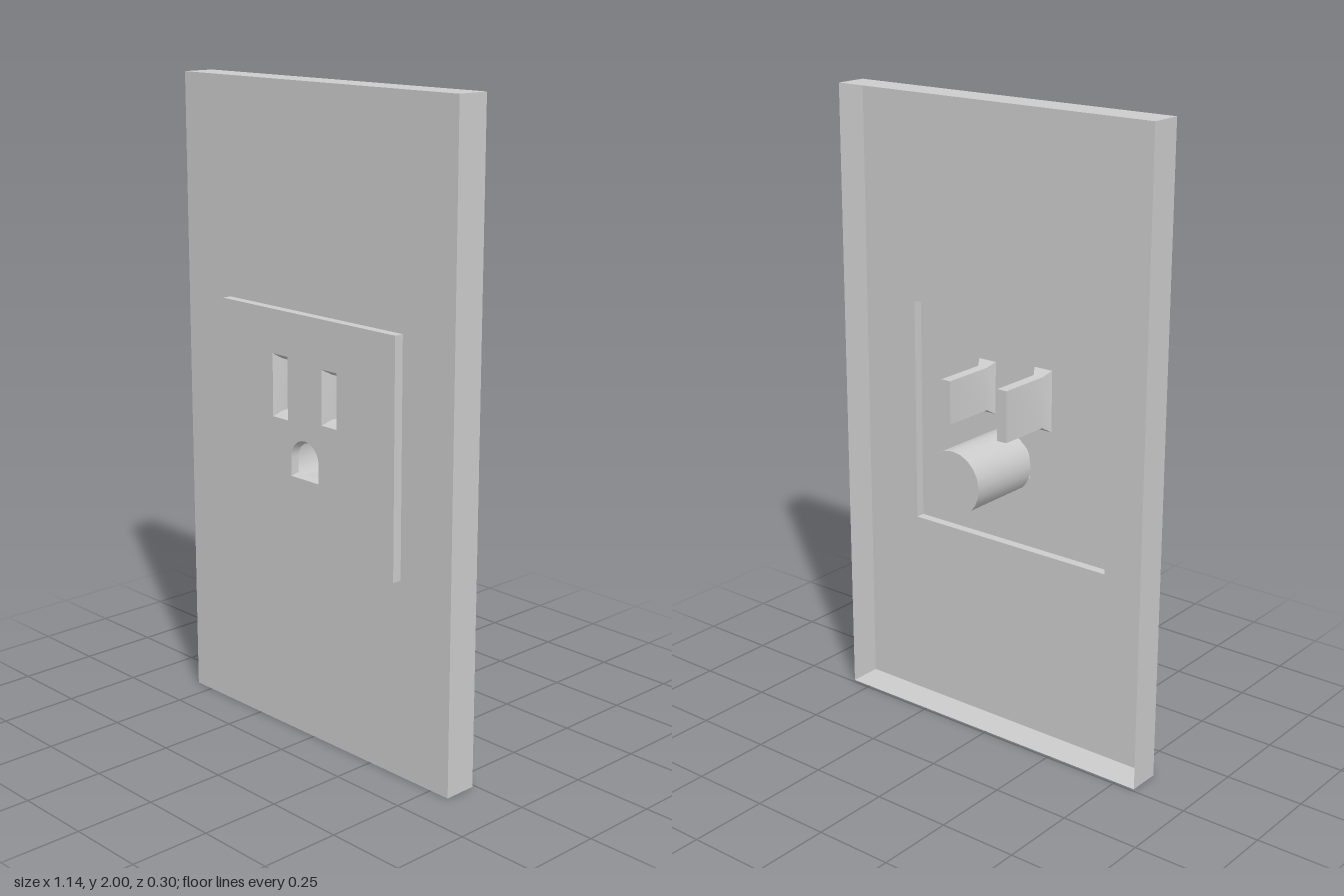
import * as THREE from 'three';
import { toCreasedNormals } from 'three/addons/utils/BufferGeometryUtils.js';

const FRONT = 0.115, BACK = 0.01, FACE = 0.145;

const shellGrey = new THREE.MeshStandardMaterial({ color: 0xcccccc, side: THREE.DoubleSide });
shellGrey.name = 'shell grey';

// Counter-clockwise rectangle, seen from the front
function rect(cx, cy, w, h) {
  const x = w / 2, y = h / 2;
  return [[cx - x, cy - y], [cx + x, cy - y], [cx + x, cy + y], [cx - x, cy + y]];
}

// Flat-bottomed round outline: an arc closed by two bottom corners
function dOutline(cx, cy, r, startAngle, cornerX, bottom) {
  const pts = [[cx + cornerX, bottom]];
  const n = 14;
  for (let i = 0; i <= n; i++) {
    const a = startAngle + (Math.PI - 2 * startAngle) * i / n;
    pts.push([cx + r * Math.cos(a), cy + r * Math.sin(a)]);
  }
  pts.push([cx - cornerX, bottom]);
  return pts;
}

const toVectors = (pts) => pts.map(([x, y]) => new THREE.Vector2(x, y));

// Flat sheet with optional holes, facing forward at depth z
function sheet(name, outline, z, holes = []) {
  const shape = new THREE.Shape(toVectors(outline));
  holes.forEach((h) => shape.holes.push(new THREE.Path(toVectors(h))));
  const mesh = new THREE.Mesh(new THREE.ShapeGeometry(shape).translate(0, 0, z), shellGrey);
  mesh.name = name;
  return mesh;
}

// Open wall joining outlines at successive depths: sections are [outline, z]
function wall(name, sections) {
  const n = sections[0][0].length;
  const pos = [], index = [];
  sections.forEach(([pts, z]) => pts.forEach(([x, y]) => pos.push(x, y, z)));
  for (let i = 0; i < sections.length - 1; i++) {
    for (let j = 0; j < n; j++) {
      const a = i * n + j, b = i * n + (j + 1) % n;
      index.push(a, b, a + n, b, b + n, a + n);
    }
  }
  const geo = new THREE.BufferGeometry();
  geo.setAttribute('position', new THREE.Float32BufferAttribute(pos, 3));
  geo.setIndex(index);
  const mesh = new THREE.Mesh(toCreasedNormals(geo, 0.6), shellGrey);
  mesh.name = name;
  return mesh;
}

// Blind pocket running back from the face, closed at its last section
function pocket(name, sections) {
  const group = new THREE.Group();
  group.name = name;
  const [endOutline, endZ] = sections[sections.length - 1];
  group.add(wall(name + 'Wall', sections), sheet(name + 'End', endOutline, endZ));
  return group;
}

export function createModel() {
  const model = new THREE.Group();
  model.name = 'wallSocket';

  const plate = rect(0, 1, 1.136, 2);
  const panel = rect(0, 0.973, 0.74, 0.722);

  // Cover plate, open at the back, with the raised panel
  model.add(
    sheet('coverPlate', plate, FRONT, [panel]),
    wall('coverPlateRim', [[plate, BACK], [plate, FRONT]]),
    wall('panelRim', [[panel, FRONT], [panel, FACE]]),
  );

  // Blade slots: bevelled mouth, then a narrow pocket
  const slots = [
    { name: 'tallSlot', x: -0.11, y: 1.102, w: 0.066, h: 0.194, inW: 0.034, inH: 0.16 },
    { name: 'shortSlot', x: 0.103, y: 1.102, w: 0.064, h: 0.168, inW: 0.034, inH: 0.136 },
  ];
  const holes = [];
  for (const s of slots) {
    const mouth = rect(s.x, s.y, s.w, s.h);
    const inner = rect(s.x, s.y, s.inW, s.inH);
    holes.push(mouth);
    model.add(pocket(s.name, [[mouth, FACE], [inner, 0.12], [inner, -0.055]]));
  }

  // Ground hole: arched mouth opening into a wider round pocket
  const mouth = dOutline(-0.003, 0.895, 0.06, 0, 0.06, 0.836);
  const neck = dOutline(-0.003, 0.895, 0.05, 0, 0.05, 0.846);
  const body = dOutline(0, 0.895, 0.1, -0.55, 0.071, 0.825);
  holes.push(mouth);
  model.add(pocket('groundHole', [[mouth, FACE], [neck, 0.125], [body, 0.1], [body, -0.15]]));

  model.add(sheet('panelFace', panel, FACE, holes));
  return model;
}
